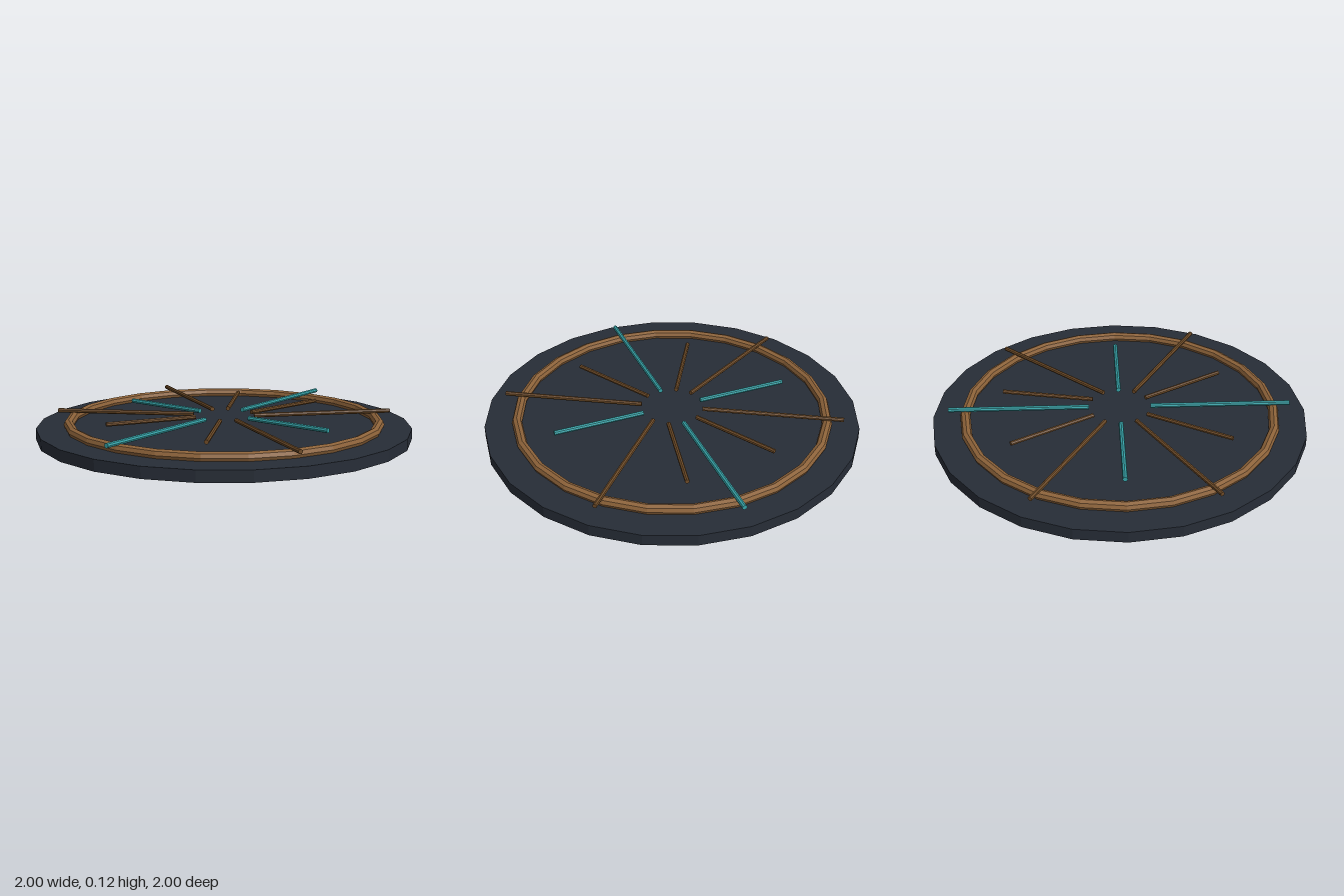
import * as THREE from 'three';

const material = (color) => new THREE.MeshStandardMaterial({ color, flatShading: true });

export function createModel() {
  const group = new THREE.Group();
  const slate = material(0x272d37);
  const bronze = material(0x8c6239);
  const darkBronze = material(0x6e4b27);
  const teal = material(0x36a3a8);

  const add = (name, geometry, mat) => {
    const mesh = new THREE.Mesh(geometry, mat);
    mesh.name = name;
    group.add(mesh);
    return mesh;
  };

  // 24-sided base slab
  add('baseDisc', new THREE.CylinderGeometry(1, 1, 0.06, 24), slate).position.y = 0.03;

  // faceted ring lying on the slab
  const ring = new THREE.TorusGeometry(0.828, 0.027, 8, 24).rotateX(Math.PI / 2);
  add('ring', ring, bronze).position.y = 0.076;

  // thin rod between two points in the plan
  const rod = (name, x0, z0, x1, z1, radius, mat) => {
    const start = new THREE.Vector3(x0, 0.108, z0);
    const end = new THREE.Vector3(x1, 0.108, z1);
    const dir = end.clone().sub(start);
    const mesh = add(name, new THREE.CylinderGeometry(radius, radius, dir.length(), 8), mat);
    mesh.position.copy(start).lerp(end, 0.5);
    mesh.quaternion.setFromUnitVectors(new THREE.Vector3(0, 1, 0), dir.normalize());
  };

  // twelve radial markers, alternately long and short; every third is teal
  for (let i = 0; i < 12; i++) {
    if (i === 1 || i === 2) continue; // these two are knocked askew, below
    const a = (i * Math.PI) / 6;
    const c = Math.cos(a), s = Math.sin(a);
    const outer = i % 2 ? 0.657 : 0.915;
    const main = i % 3 === 0;
    rod(main ? 'mainMarker' : 'marker', c * 0.165, s * 0.165, c * outer, s * outer,
      main ? 0.013 : 0.012, main ? teal : darkBronze);
  }

  // two displaced markers
  rod('skewedShortMarker', 0.143, 0.077, 0.632, 0.175, 0.012, darkBronze);
  rod('skewedLongMarker', 0.083, 0.14, 0.64, 0.652, 0.012, darkBronze);

  return group;
}
